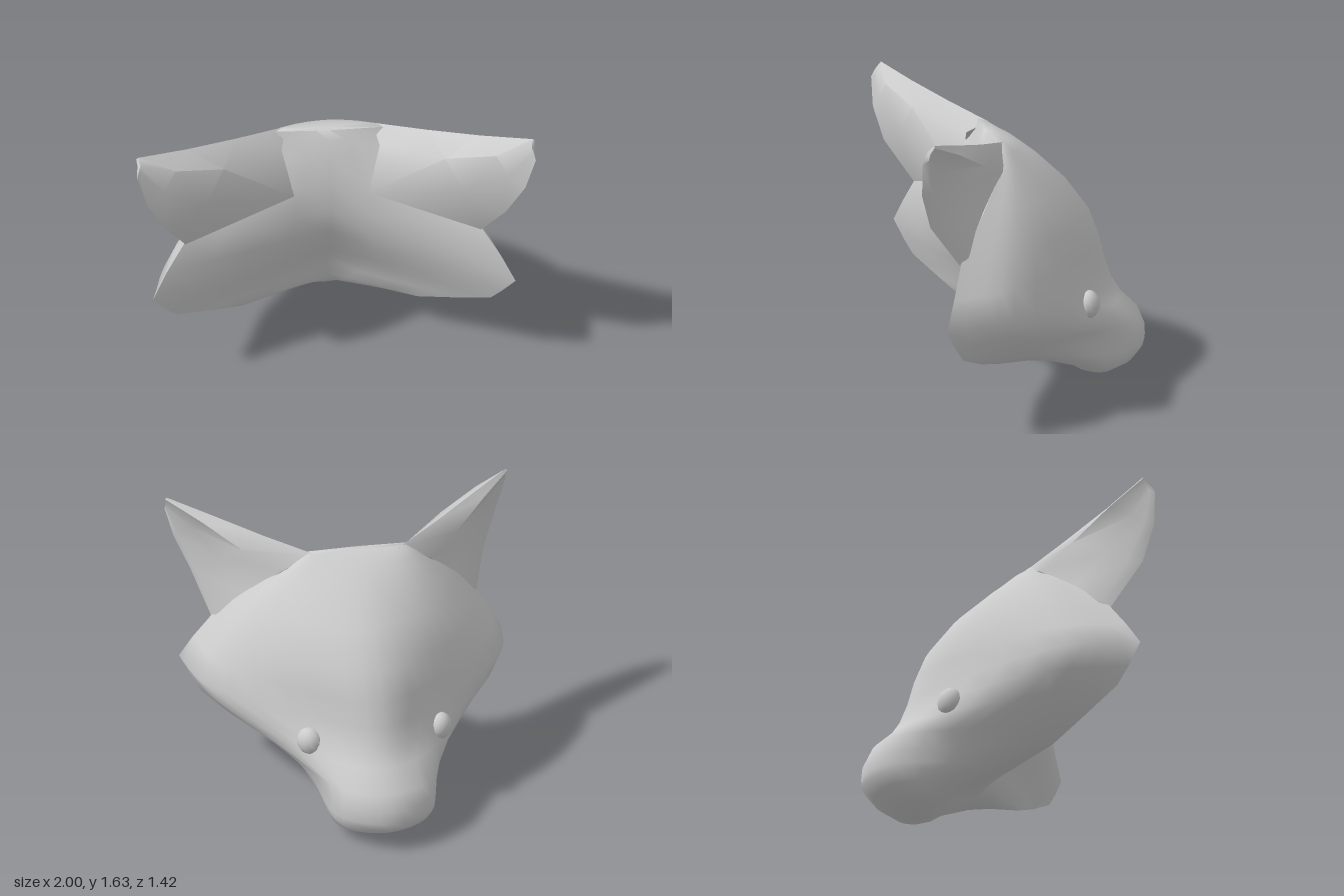
import * as THREE from 'three';
import { toCreasedNormals } from 'three/addons/utils/BufferGeometryUtils.js';

const V = (x, y, z) => new THREE.Vector3(x, y, z);

// Skin a stack of closed loops that all have the same number of points.
function loft(rings, crease) {
  const n = rings[0].length, pos = [], index = [];
  rings.forEach(r => r.forEach(p => pos.push(p.x, p.y, p.z)));
  for (let j = 0; j < rings.length - 1; j++) {
    for (let i = 0; i < n; i++) {
      const k = (i + 1) % n;
      const a = j * n + i, b = j * n + k, c = a + n, d = b + n;
      index.push(a, b, c, b, d, c);
    }
  }
  const g = new THREE.BufferGeometry();
  g.setAttribute('position', new THREE.Float32BufferAttribute(pos, 3));
  g.setIndex(index);
  return toCreasedNormals(g, crease);
}

// A loop shrunk to its middle, used to close the ends of a loft.
function collapse(ring) {
  const box = new THREE.Box3().setFromPoints(ring);
  const c = box.getCenter(V(0, 0, 0));
  return ring.map(() => c.clone());
}

const closed = rings => [collapse(rings[0]), ...rings, collapse(rings[rings.length - 1])];

// Horizontal head slices: height, face z, side x z, cheek x z, rim x z, back z
const slices = [
  [0.005, -0.45, 0.05, -0.44, 0.06, -0.42, 0.04, -0.40, -0.39],
  [0.03, -0.54, 0.16, -0.48, 0.18, -0.40, 0.12, -0.32, -0.29],
  [0.10, -0.65, 0.23, -0.56, 0.285, -0.40, 0.21, -0.25, -0.21],
  [0.16, -0.71, 0.25, -0.59, 0.31, -0.36, 0.25, -0.09, -0.06],
  [0.20, -0.715, 0.25, -0.60, 0.33, -0.28, 0.31, 0.07, -0.04],
  [0.27, -0.71, 0.25, -0.60, 0.36, -0.24, 0.50, 0.24, -0.01],
  [0.36, -0.67, 0.24, -0.58, 0.43, -0.18, 0.70, 0.37, 0.02],
  [0.46, -0.57, 0.25, -0.45, 0.66, 0.06, 0.87, 0.50, 0.06],
  [0.55, -0.515, 0.29, -0.36, 0.79, 0.16, 0.92, 0.55, 0.12],
  [0.66, -0.475, 0.32, -0.29, 0.88, 0.24, 0.98, 0.60, 0.185],
  [0.80, -0.44, 0.34, -0.26, 0.80, 0.21, 0.90, 0.55, 0.26],
  [0.96, -0.38, 0.34, -0.22, 0.70, 0.18, 0.79, 0.49, 0.30],
  [1.15, -0.24, 0.31, -0.12, 0.56, 0.15, 0.625, 0.35, 0.30],
  [1.30, -0.08, 0.26, 0.00, 0.42, 0.14, 0.465, 0.235, 0.275],
  [1.39, 0.04, 0.22, 0.08, 0.33, 0.15, 0.35, 0.21, 0.24],
  [1.44, 0.15, 0.20, 0.155, 0.27, 0.17, 0.28, 0.20, 0.21],
];

// Rounded face from rim to rim, then a shallow valley across the back.
function headRing([y, face, sx, sz, cx, cz, rx, rz, back]) {
  const front = new THREE.CatmullRomCurve3([
    V(rx, y, rz), V(cx, y, cz), V(sx, y, sz), V(0, y, face),
    V(-sx, y, sz), V(-cx, y, cz), V(-rx, y, rz),
  ]);
  const ring = [];
  for (let i = 0; i <= 24; i++) ring.push(front.getPoint(i / 24));
  for (const u of [-0.75, -0.5, -0.25, 0, 0.25, 0.5, 0.75]) {
    const bend = Math.pow(Math.abs(u), 1.05);
    ring.push(V(u * rx, y, back + (rz - back) * bend));
  }
  return ring;
}

// Ear loops from base to tip: front ridge, back ridge, rear face,
// outer edge, inner lower edge, hollow, inner upper edge
const earRings = [
  [V(0.23, 1.435, 0.15), V(0.26, 1.37, 0.27), V(0.20, 1.10, 0.325), V(0.79, 0.95, 0.50),
    V(0.77, 0.98, 0.45), V(0.60, 1.15, 0.34), V(0.43, 1.33, 0.20)],
  [V(0.50, 1.50, 0.33), V(0.57, 1.455, 0.53), V(0.67, 1.28, 0.60), V(0.88, 1.19, 0.66),
    V(0.85, 1.19, 0.58), V(0.74, 1.32, 0.51), V(0.62, 1.42, 0.34)],
  [V(0.75, 1.57, 0.50), V(0.81, 1.545, 0.65), V(0.87, 1.45, 0.69), V(0.96, 1.38, 0.71),
    V(0.94, 1.39, 0.66), V(0.87, 1.47, 0.61), V(0.82, 1.54, 0.50)],
  [V(0.99, 1.64, 0.65), V(0.98, 1.61, 0.68), V(0.99, 1.585, 0.695), V(1.00, 1.55, 0.71),
    V(1.00, 1.57, 0.68), V(0.995, 1.60, 0.67), V(1.00, 1.63, 0.65)],
];

export function createModel() {
  const model = new THREE.Group();
  model.name = 'foxHead';
  const grey = new THREE.MeshStandardMaterial({ color: 0xcccccc });
  grey.name = 'plainGrey';

  const head = new THREE.Mesh(loft(closed(slices.map(headRing)), 1.05), grey);
  head.name = 'head';
  model.add(head);

  // Ear and eye, mirrored to both sides
  const earGeometry = loft(closed(earRings), 0.95);
  const eyeGeometry = new THREE.SphereGeometry(1, 12, 8);
  for (const side of [1, -1]) {
    const half = new THREE.Group();
    half.name = side > 0 ? 'leftFeatures' : 'rightFeatures';
    half.scale.x = side;

    const ear = new THREE.Mesh(earGeometry, grey);
    ear.name = 'ear';

    const eye = new THREE.Mesh(eyeGeometry, grey);
    eye.name = 'eye';
    eye.scale.set(0.074, 0.08, 0.062);
    eye.position.set(0.372, 0.525, -0.288);
    eye.rotation.y = -0.68;

    half.add(ear, eye);
    model.add(half);
  }
  return model;
}
